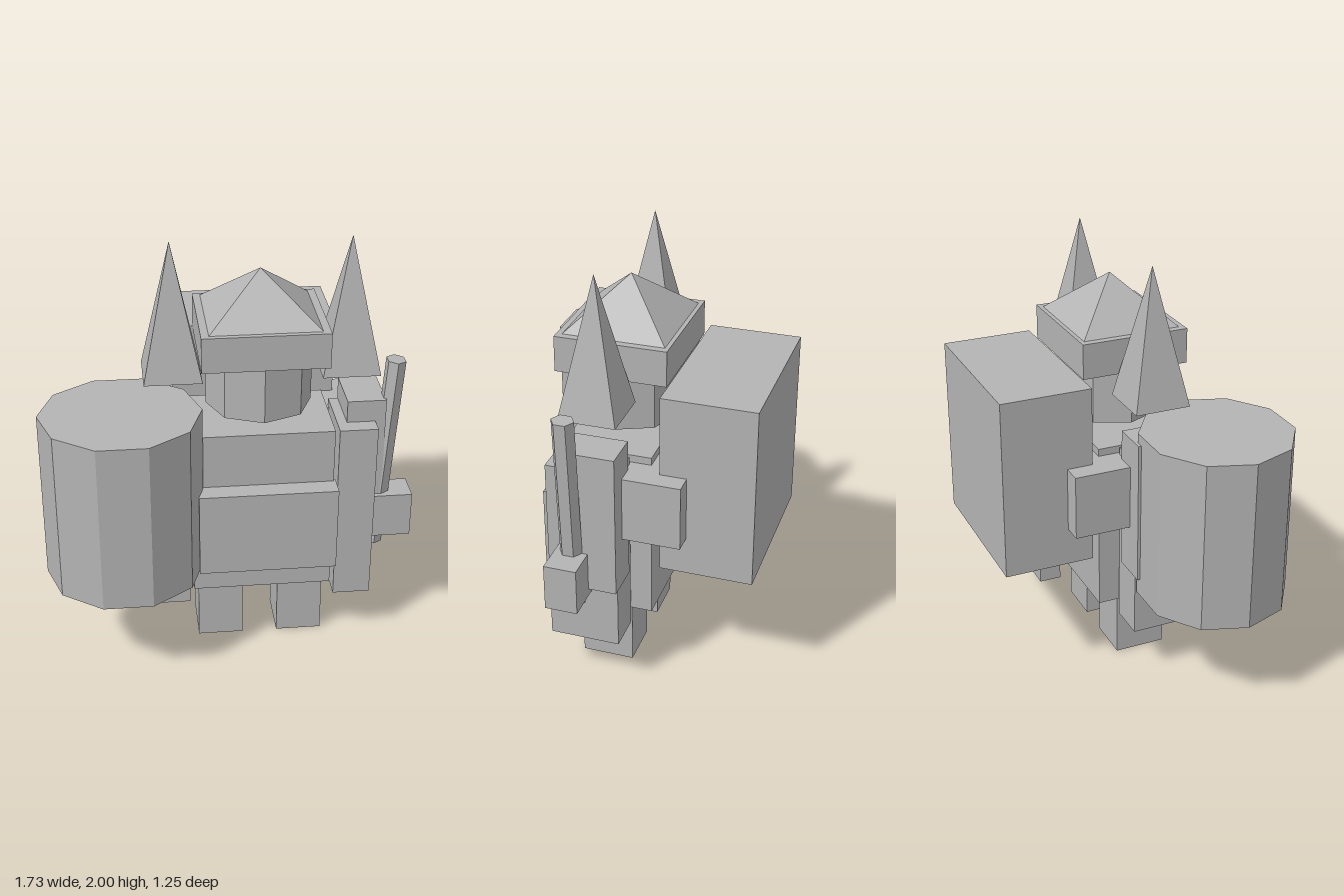
import * as THREE from 'three';

export function createModel() {
  const group = new THREE.Group();
  const grey = new THREE.MeshStandardMaterial({ color: 0xb4b4b4, name: 'grey' });
  const MID = 0.145; // the figure's own centre line
  const mirrorX = (x) => 2 * MID - x;

  function add(name, geometry, x, y, z) {
    const mesh = new THREE.Mesh(geometry, grey);
    mesh.name = name;
    mesh.position.set(x, y, z);
    group.add(mesh);
    return mesh;
  }

  // box from its limits along each axis
  function box(name, x0, x1, y0, y1, z0, z1) {
    return add(name, new THREE.BoxGeometry(x1 - x0, y1 - y0, z1 - z0),
      (x0 + x1) / 2, (y0 + y1) / 2, (z0 + z1) / 2);
  }

  // faceted prism or cone
  function faceted(rTop, rBottom, height, sides, start, sx = 1, sz = 1) {
    const g = new THREE.CylinderGeometry(rTop, rBottom, height, sides, 1, false, start)
      .scale(sx, 1, sz).toNonIndexed();
    g.computeVertexNormals();
    return g;
  }

  // square pyramid with given base size
  function pyramid(name, x, z, width, depth, y0, y1) {
    const g = faceted(0, Math.SQRT1_2, y1 - y0, 4, Math.PI / 4, width, depth);
    return add(name, g, x, (y0 + y1) / 2, z);
  }

  // body
  box('torso', -0.18, 0.47, 0.32, 1.14, -0.14, 0.28);
  box('bellyPlate', -0.16, 0.48, 0.47, 0.88, 0.27, 0.375);

  // head and hat
  add('head', faceted(0.244, 0.244, 0.27, 8, 0, 1, 0.945), 0.143, 1.34, 0.06);
  box('hatBrim', -0.14, 0.43, 1.475, 1.64, -0.195, 0.315);
  pyramid('hatTop', MID, 0.057, 0.5, 0.465, 1.64, 1.855);

  // legs, arms and shoulder spikes on both sides
  for (const side of ['left', 'right']) {
    const sideBox = (name, x0, x1, ...rest) => side === 'left'
      ? box(name, x0, x1, ...rest)
      : box(name, mirrorX(x1), mirrorX(x0), ...rest);
    sideBox(side + 'Leg', 0.228, 0.445, 0, 0.32, -0.035, 0.21);
    sideBox(side + 'Arm', 0.49, 0.667, 0.25, 1.14, -0.045, 0.28);
    sideBox(side + 'ShoulderPlate', 0.535, 0.715, 0.565, 1.245, -0.055, 0.2);
    const spikeX = side === 'left' ? 0.547 : mirrorX(0.547);
    pyramid(side + 'ShoulderSpike', spikeX, 0.08, 0.263, 0.26, 1.375, 2);
  }

  // hand holding a leaning staff
  box('leftHand', 0.667, 0.86, 0.53, 0.75, 0.075, 0.225);
  const staff = add('staff', faceted(0.052, 0.052, 0.957, 6, 0, 0.9, 1), 0.726, 0.949, 0.152);
  staff.rotation.z = -0.066;

  // drum on the right arm
  add('drum', faceted(0.365, 0.365, 0.81, 10, Math.PI / 2, 1, 0.955), -0.5, 0.885, 0.29);

  // backpack with its crossbar and lower peg
  box('backpack', -0.245, 0.535, 0.62, 1.475, -0.625, -0.198);
  box('backpackCrossbar', -0.34, 0.625, 0.8, 1.105, -0.32, -0.02);
  box('backpackPeg', -0.12, 0.04, 0.475, 0.63, -0.415, -0.315);

  return group;
}
